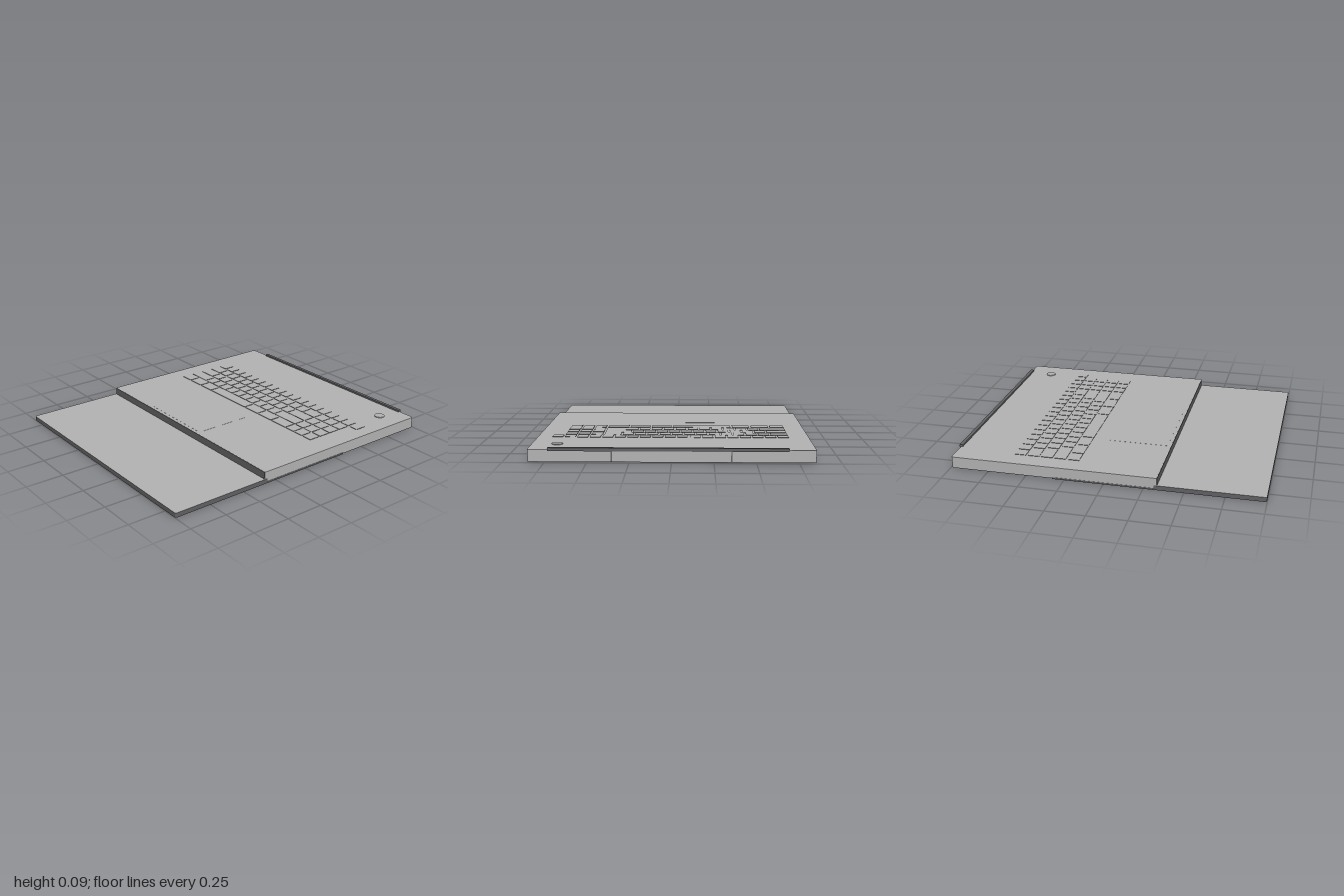
import * as THREE from 'three';

export function createModel() {
  const model = new THREE.Group();
  model.name = 'openLaptop';
  const silver = new THREE.MeshStandardMaterial({ name: 'silver', color: 0xb4b4b4 });
  const charcoal = new THREE.MeshStandardMaterial({ name: 'charcoal', color: 0x626264 });

  const add = (name, geometry, material, parent = model) => {
    const mesh = new THREE.Mesh(geometry, material);
    mesh.name = name;
    parent.add(mesh);
    return mesh;
  };

  // box given by its limits on each axis
  const box = (name, x0, x1, y0, y1, z0, z1, material, parent) => {
    const mesh = add(name, new THREE.BoxGeometry(x1 - x0, y1 - y0, z1 - z0), material, parent);
    mesh.position.set((x0 + x1) / 2, (y0 + y1) / 2, (z0 + z1) / 2);
    return mesh;
  };

  // flat slab with rounded corners in plan; materials are [faces, rim]
  const slab = (name, halfWidth, y0, y1, z0, z1, radius, materials) => {
    const w = halfWidth, r = radius, s = new THREE.Shape();
    s.moveTo(-w + r, -z1);
    s.lineTo(w - r, -z1);
    s.quadraticCurveTo(w, -z1, w, -z1 + r);
    s.lineTo(w, -z0 - r);
    s.quadraticCurveTo(w, -z0, w - r, -z0);
    s.lineTo(-w + r, -z0);
    s.quadraticCurveTo(-w, -z0, -w, -z0 - r);
    s.lineTo(-w, -z1 + r);
    s.quadraticCurveTo(-w, -z1, -w + r, -z1);
    const g = new THREE.ExtrudeGeometry(s, { depth: y1 - y0, bevelEnabled: false, curveSegments: 4 });
    g.rotateX(-Math.PI / 2);
    g.translate(0, y0, 0);
    return add(name, g, materials);
  };

  // lid: a thin shell under the body and the thicker part lying in front of it
  slab('lidShell', 0.853, 0, 0.011, -0.33, 0.998, 0.012, [silver, charcoal]);
  slab('lidPanel', 0.853, 0.011, 0.03, 0.31, 0.998, 0.012, [silver, charcoal]);

  // body with dark underside and front edge
  slab('body', 0.851, 0.006, 0.078, -0.99, 0.333, 0.012, [silver, silver]);
  slab('underside', 0.85, 0.003, 0.006, -0.988, -0.325, 0.01, [charcoal, charcoal]);
  box('frontEdge', -0.845, 0.845, 0.012, 0.0775, 0.33, 0.336, charcoal);

  // hinge bar and rear panel with its end seams
  box('hingeBar', -0.69, 0.73, 0.07, 0.09, -1, -0.977, charcoal);
  box('rearPanel', -0.35, 0.35, 0.01, 0.07, -0.994, -0.988, silver);
  for (const side of [-1, 1]) {
    const x = side * 0.354;
    box('rearSeam', x - 0.004, x + 0.004, 0.008, 0.076, -0.9935, -0.988, charcoal);
  }

  // keys: each row lists key widths, spread between two x limits
  const ones = (n) => Array(n).fill(1);
  const rows = [
    [[-0.73, 0.765, ones(19)]],
    [[-0.73, 0.445, [1.5, ...ones(12), 1.5]]],
    [[-0.73, 0.445, [1.75, ...ones(11), 2.25]]],
    [[-0.73, 0.445, [2.25, ...ones(10), 2.75]]],
    [[-0.73, 0.445, [1.3, 1.6, 1.6, 5, 1.8, 1.8, 1.9]]],
  ];
  const keyboard = new THREE.Group();
  keyboard.name = 'keyboard';
  model.add(keyboard);
  const capMaterials = [charcoal, charcoal, silver, silver, charcoal, charcoal];
  rows.forEach((blocks, i) => {
    if (i > 0) blocks.push([0.445, 0.692, ones(3)]); // number pad
    const z = -0.612 + i * 0.0875;
    for (const [x0, x1, widths] of blocks) {
      const unit = (x1 - x0) / widths.reduce((a, b) => a + b, 0);
      let x = x0;
      for (const w of widths) {
        box('key', x + 0.006, x + w * unit - 0.006, 0.076, 0.081, z, z + 0.074, capMaterials, keyboard);
        x += w * unit;
      }
    }
  });

  // touchpad and round power button
  box('touchpad', -0.385, 0.15, 0.076, 0.0788, -0.075, 0.31, silver);
  const button = add('powerButton', new THREE.CylinderGeometry(0.034, 0.034, 0.008, 24), silver);
  button.position.set(0.695, 0.079, -0.825);

  return model;
}
